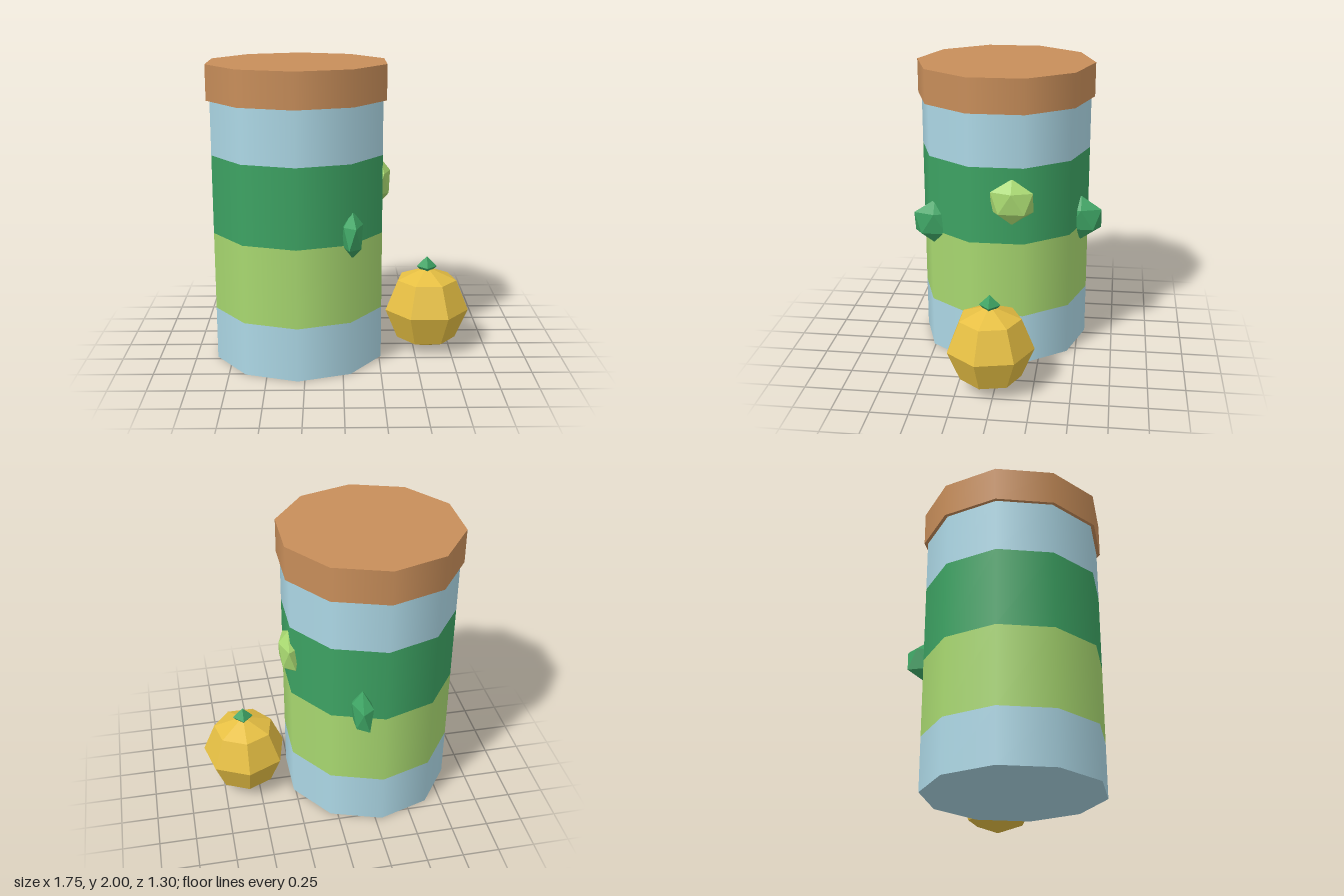
import * as THREE from 'three';

const flat = (color, name) => Object.assign(new THREE.MeshStandardMaterial({ color }), { name });

export function createModel() {
  const model = new THREE.Group();
  const paleBlue = flat(0xadd8e6, 'pale blue');
  const lime = flat(0xa8d870, 'lime green');
  const green = flat(0x3da363, 'leaf green');
  const brown = flat(0xc88e5a, 'cork brown');
  const gold = flat(0xe6bf43, 'gold');
  const CX = -0.296, CZ = 0.035; // axis of the jar

  const add = (name, geometry, material, x, y, z) => {
    const mesh = new THREE.Mesh(geometry, material);
    mesh.name = name;
    mesh.position.set(x, y, z);
    model.add(mesh);
    return mesh;
  };
  // Faceted geometry with one normal per face
  const faceted = (geometry) => {
    const g = geometry.index ? geometry.toNonIndexed() : geometry;
    g.computeVertexNormals();
    return g;
  };

  // Jar wall, in stacked ten-sided colour bands
  const bands = [
    ['lowerWall', 0, 0.36, paleBlue],
    ['limeBand', 0.36, 0.885, lime],
    ['greenBand', 0.885, 1.41, green],
    ['upperWall', 1.41, 1.77, paleBlue],
  ];
  for (const [name, y0, y1, material] of bands) {
    add(name, new THREE.CylinderGeometry(0.587, 0.587, y1 - y0, 10, 1, true), material, CX, (y0 + y1) / 2, CZ);
  }

  // Jar base, facing down
  const base = new THREE.CircleGeometry(0.587, 10, Math.PI / 2).rotateX(Math.PI / 2);
  add('base', base, paleBlue, CX, 0, CZ);

  // Lid
  add('lid', new THREE.CylinderGeometry(0.611, 0.611, 0.232, 10), brown, CX, 1.884, CZ);

  // Round fruit beside the jar, with its stem
  const fruit = new THREE.SphereGeometry(0.293, 7, 4, -Math.PI / 2);
  add('fruit', faceted(fruit), gold, 0.585, 0.293, CZ);
  add('fruitStem', new THREE.OctahedronGeometry(0.07), green, 0.585, 0.59, CZ);

  // Leaves half sunk into the wall: an icosahedron stood on a corner and squashed in x
  const leafGeometry = faceted(
    new THREE.IcosahedronGeometry(1).rotateZ(-Math.atan(2 / (1 + Math.sqrt(5)))).scale(0.077, 0.158, 0.165));
  add('sideLeaf', leafGeometry, lime, 0.26, 1.178, -0.07);
  add('frontLeaf', leafGeometry, green, 0.058, 0.946, 0.48);
  add('backLeaf', leafGeometry, green, -0.143, 0.944, -0.51);

  return model;
}
